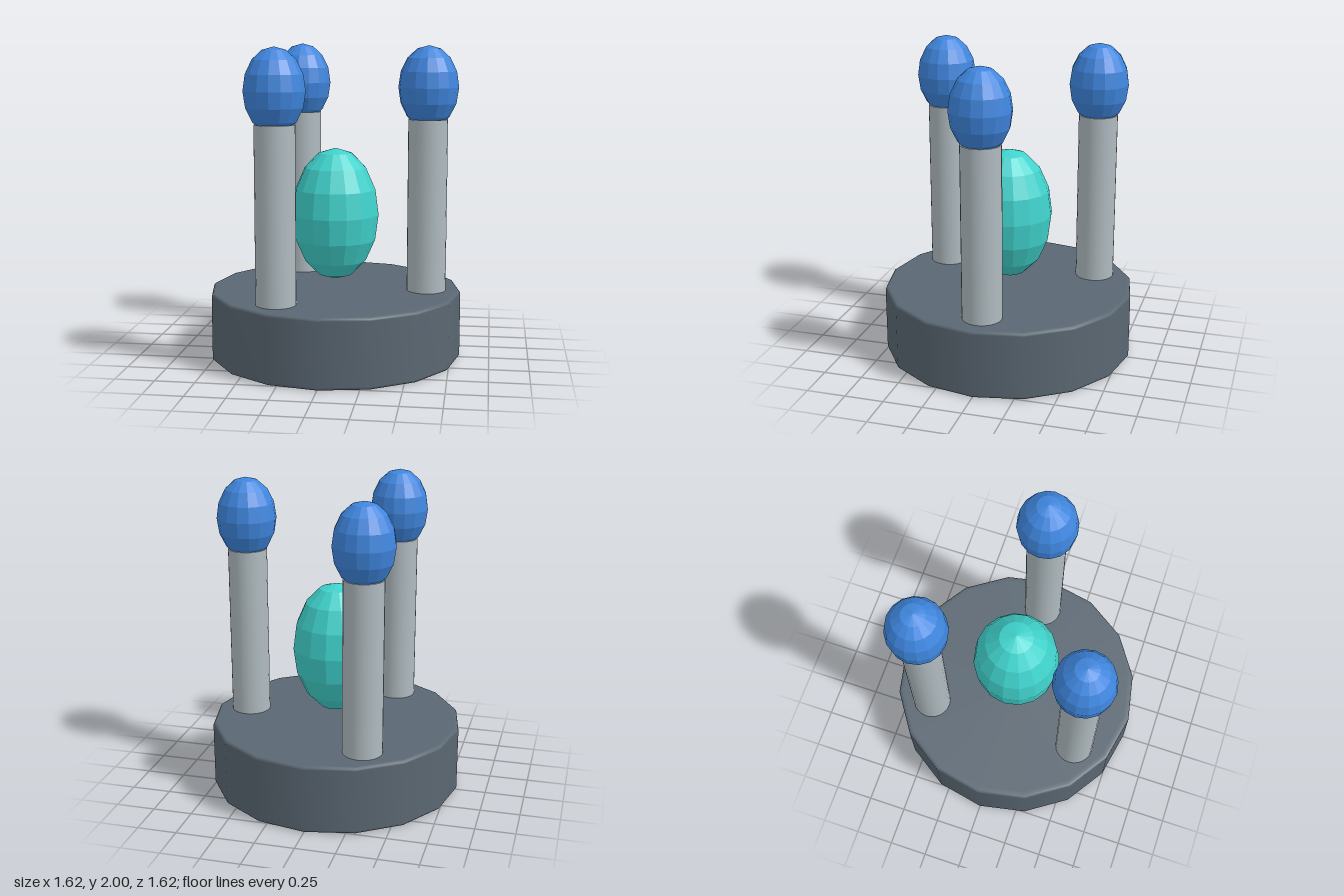
import * as THREE from 'three';

const material = (name, color, flatShading = false) => {
  const m = new THREE.MeshStandardMaterial({ color, flatShading });
  m.name = name;
  return m;
};

export function createModel() {
  const slate = material('slate', 0x5a6772);
  const steel = material('paleSteel', 0xb0bbc0);
  const blue = material('blue', 0x3f86de, true);
  const teal = material('teal', 0x40d2cc, true);

  const model = new THREE.Group();
  model.name = 'pillarStand';

  const add = (parent, name, geometry, mat, x, y, z) => {
    const mesh = new THREE.Mesh(geometry, mat);
    mesh.name = name;
    mesh.position.set(x, y, z);
    parent.add(mesh);
    return mesh;
  };

  // Sixteen-sided base with a small rounded rim at top and bottom
  const R = 0.81, H = 0.44, bevel = 0.02;
  const profile = [new THREE.Vector2(0, 0), new THREE.Vector2(R - 2 * bevel, 0)];
  for (const [cy, start] of [[bevel, -Math.PI / 2], [H - bevel, 0]]) {
    for (let i = 0; i <= 3; i++) {
      const a = start + (i / 3) * Math.PI / 2;
      profile.push(new THREE.Vector2(R - bevel + bevel * Math.cos(a), cy + bevel * Math.sin(a)));
    }
  }
  profile.push(new THREE.Vector2(R - 2 * bevel, H), new THREE.Vector2(0, H));
  add(model, 'base', new THREE.LatheGeometry(profile, 16), slate, 0, 0, 0);

  // Faceted egg hovering over the middle of the base
  const egg = new THREE.SphereGeometry(0.28, 16, 8).scale(1, 0.427 / 0.28, 1);
  add(model, 'centreEgg', egg, teal, 0, 0.922, 0);

  // Three pillars around the egg, each with a faceted bulb on top
  const shaft = new THREE.CylinderGeometry(0.125, 0.125, 1.12, 24);
  const bulb = new THREE.SphereGeometry(0.19, 16, 8).scale(1, 0.26 / 0.19, 1);
  for (let i = 0; i < 3; i++) {
    const angle = (i * Math.PI * 2) / 3;
    const pillar = new THREE.Group();
    pillar.name = 'pillar' + (i + 1);
    pillar.position.set(0.59 * Math.cos(angle), 0, 0.59 * Math.sin(angle));
    add(pillar, 'shaft', shaft, steel, 0, 0.98, 0);
    add(pillar, 'bulb', bulb, blue, 0, 1.74, 0);
    model.add(pillar);
  }

  return model;
}
